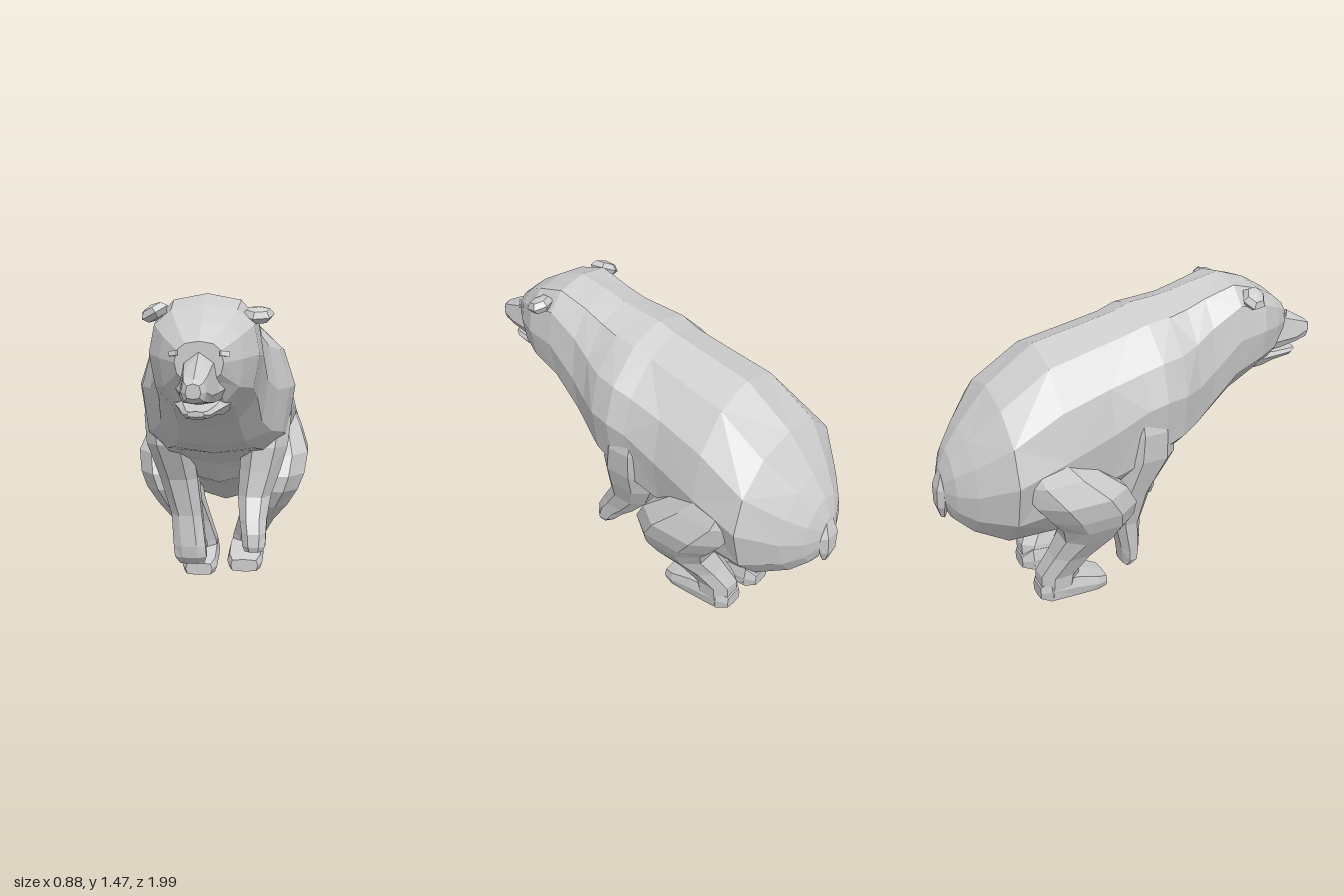
import * as THREE from 'three';

const fur = new THREE.MeshStandardMaterial({ color: 0xcccccc });
fur.name = 'fur';
const eyeWhite = new THREE.MeshStandardMaterial({ color: 0xf4f4f4 });
eyeWhite.name = 'eyeWhite';

// A power below 1 makes a ring boxier.
const soft = (v, p) => Math.sign(v) * Math.pow(Math.abs(v), p);

// Upright ring across the z axis: z, top, bottom, half width, height of widest point,
// boxiness of the upper and lower half, x
function uprightRing([z, top, bottom, w, mid, upper, lower = upper, x = 0], sides) {
  return Array.from({ length: sides }, (_, i) => {
    const a = (i / sides) * Math.PI * 2;
    const p = Math.cos(a) > 0 ? upper : lower;
    const c = soft(Math.cos(a), p);
    return [x + w * soft(Math.sin(a), p), mid + c * (c > 0 ? top - mid : mid - bottom), z];
  });
}

// Level ring across the y axis: centre x, y, z, half width, half depth
function levelRing([x, y, z, rx, rz], sides) {
  return Array.from({ length: sides }, (_, i) => {
    const a = ((i + 0.5) / sides) * Math.PI * 2;
    return [x + rx * soft(Math.sin(a), 0.85), y, z + rz * soft(Math.cos(a), 0.85)];
  });
}

// Closed, faceted skin over a row of rings
function loft(rows, ringFn, sides) {
  const rings = rows.map((r) => ringFn(r, sides));
  const n = rings.length;
  const pts = rings.flat();
  const index = [];
  for (let r = 0; r < n - 1; r++) {
    for (let i = 0; i < sides; i++) {
      const j = (i + 1) % sides;
      const a = r * sides + i, b = r * sides + j, c = a + sides, d = b + sides;
      if ((r + i) % 2) index.push(a, b, d, a, d, c);
      else index.push(a, b, c, b, d, c);
    }
  }
  [0, n - 1].forEach((r, k) => {
    const centre = [0, 1, 2].map((q) => rings[r].reduce((s, v) => s + v[q], 0) / sides);
    pts.push(centre);
    for (let i = 0; i < sides; i++) {
      const a = r * sides + i, b = r * sides + ((i + 1) % sides);
      index.push(...(k ? [a, b, pts.length - 1] : [b, a, pts.length - 1]));
    }
  });
  // Turn the skin outward if its enclosed volume is negative
  const v = pts.map((q) => new THREE.Vector3(...q));
  let volume = 0;
  for (let i = 0; i < index.length; i += 3) {
    volume += v[index[i]].dot(v[index[i + 1]].clone().cross(v[index[i + 2]]));
  }
  if (volume < 0) index.reverse();
  const g = new THREE.BufferGeometry();
  g.setAttribute('position', new THREE.Float32BufferAttribute(pts.flat(), 3));
  g.setIndex(index);
  return facet(g);
}

function facet(g) {
  const flat = g.toNonIndexed();
  flat.computeVertexNormals();
  return flat;
}

export function createModel() {
  const bear = new THREE.Group();
  bear.name = 'bear';
  const add = (name, geometry, material = fur) => {
    const mesh = new THREE.Mesh(geometry, material);
    mesh.name = name;
    bear.add(mesh);
    return mesh;
  };

  // Rump, back, shoulders, neck and skull
  add('body', loft([
    [-0.965, 0.76, 0.58, 0.07, 0.67, 1],
    [-0.93, 0.85, 0.5, 0.15, 0.68, 1],
    [-0.86, 0.95, 0.43, 0.24, 0.7, 1],
    [-0.72, 1.115, 0.36, 0.385, 0.78, 1],
    [-0.49, 1.275, 0.355, 0.375, 0.85, 1, 0.9],
    [-0.25, 1.325, 0.48, 0.35, 0.92, 1, 0.85],
    [-0.09, 1.36, 0.53, 0.36, 1.0, 1.1, 0.8],
    [0, 1.39, 0.64, 0.375, 1.03, 1.1, 0.7],
    [0.11, 1.4, 0.705, 0.35, 1.03, 1.05, 0.62],
    [0.21, 1.415, 0.73, 0.295, 1.03, 0.95, 0.65],
    [0.31, 1.44, 0.77, 0.258, 1.08, 0.85, 0.75],
    [0.46, 1.47, 0.885, 0.245, 1.2, 0.75, 0.85],
    [0.6, 1.425, 0.965, 0.235, 1.22, 0.75, 0.85],
    [0.71, 1.36, 1.01, 0.175, 1.21, 0.8],
    [0.8, 1.285, 1.12, 0.1, 1.2, 0.8],
  ], uprightRing, 12));

  // Muzzle and slightly open jaw
  add('muzzle', loft([
    [0.66, 1.25, 1.035, 0.13, 1.1, 1, 0.7],
    [0.81, 1.24, 1.03, 0.08, 1.08, 0.9, 0.7],
    [0.91, 1.19, 1.045, 0.066, 1.08, 0.8, 0.7],
    [0.98, 1.15, 1.055, 0.05, 1.1, 0.7],
    [1.0, 1.135, 1.075, 0.03, 1.1, 0.7],
  ], uprightRing, 8));
  add('lowerJaw', loft([
    [0.56, 1.11, 0.965, 0.15, 1.05, 0.8],
    [0.68, 1.06, 0.962, 0.115, 1.02, 0.8],
    [0.77, 1.03, 0.978, 0.085, 1.01, 0.7],
    [0.88, 1.02, 0.98, 0.055, 1.0, 0.7],
    [0.915, 1.018, 0.995, 0.035, 1.005, 0.7],
  ], uprightRing, 8));

  for (const s of [1, -1]) {
    // Drooping flap ears
    const ear = add(s > 0 ? 'leftEar' : 'rightEar', facet(new THREE.SphereGeometry(1, 6, 4)));
    ear.scale.set(0.075, 0.036, 0.06);
    ear.position.set(s * 0.22, s > 0 ? 1.38 : 1.39, 0.525);
    ear.rotation.set(0.3, s * 0.35, s > 0 ? -0.05 : 0.55);
    // Small eyes under the brow
    const eye = add(s > 0 ? 'leftEye' : 'rightEye', new THREE.BoxGeometry(0.045, 0.02, 0.008), eyeWhite);
    eye.position.set(s * 0.104, 1.236, 0.797);
    eye.rotation.set(-0.2, s * 0.75, 0);
  }

  // Front legs, one reaching ahead of the other
  add('leftFrontLeg', loft([
    [0.245, 1.02, -0.08, 0.09, 0.08],
    [0.25, 0.88, -0.05, 0.115, 0.13],
    [0.23, 0.74, -0.03, 0.12, 0.145],
    [0.21, 0.62, -0.02, 0.105, 0.14],
    [0.185, 0.5, 0.015, 0.085, 0.115],
    [0.183, 0.4, 0.09, 0.07, 0.1],
    [0.188, 0.34, 0.14, 0.062, 0.08],
    [0.19, 0.28, 0.17, 0.058, 0.055],
    [0.19, 0.255, 0.18, 0.045, 0.035],
  ], levelRing, 8));
  add('rightFrontLeg', loft([
    [-0.245, 1.02, -0.08, 0.09, 0.08],
    [-0.25, 0.88, -0.05, 0.115, 0.13],
    [-0.235, 0.74, -0.05, 0.12, 0.14],
    [-0.2, 0.55, -0.11, 0.1, 0.1],
    [-0.165, 0.36, -0.12, 0.082, 0.07],
    [-0.15, 0.2, -0.1, 0.086, 0.05],
    [-0.145, 0.14, -0.1, 0.086, 0.04],
    [-0.14, 0.1, -0.115, 0.065, 0.02],
  ], levelRing, 8));

  // Hind legs with flat feet; the right one stands a little lower
  for (const s of [1, -1]) {
    const side = s > 0 ? 'left' : 'right';
    const drop = s > 0 ? 0 : 0.035;
    add(side + 'HindLeg', loft([
      [0.26, 0.87, -0.58, 0.1, 0.13],
      [0.28, 0.76, -0.52, 0.13, 0.2],
      [0.29, 0.65, -0.42, 0.16, 0.235],
      [0.275, 0.55, -0.355, 0.158, 0.225],
      [0.255, 0.47, -0.325, 0.145, 0.19],
      [0.22, 0.38, -0.335, 0.125, 0.15],
      [0.17, 0.28 - drop / 2, -0.405, 0.1, 0.115],
      [0.13, 0.18 - drop, -0.465, 0.088, 0.105],
      [0.12, 0.07 - drop, -0.475, 0.088, 0.095],
    ].map(([x, ...r]) => [s * x, ...r]), levelRing, 8));
    add(side + 'HindFoot', loft([
      [-0.57, 0.12, 0.05, 0.05],
      [-0.52, 0.17, 0.036, 0.085],
      [-0.36, 0.155, 0.036, 0.092],
      [-0.25, 0.12, 0.036, 0.092],
      [-0.195, 0.1, 0.036, 0.07],
    ].map(([z, top, bottom, w]) => [z - drop * (z + 0.57) * 2.5, top - drop, bottom - drop,
      w, (top + bottom) / 2 - drop, 0.4, 0.4, s * 0.12]), uprightRing, 8));
  }

  // Short hanging tail
  add('tail', loft([
    [0, 0.75, -0.94, 0.045, 0.025],
    [0, 0.67, -0.96, 0.07, 0.035],
    [0, 0.58, -0.968, 0.055, 0.03],
    [0, 0.515, -0.965, 0.02, 0.012],
  ], levelRing, 6));

  return bear;
}
